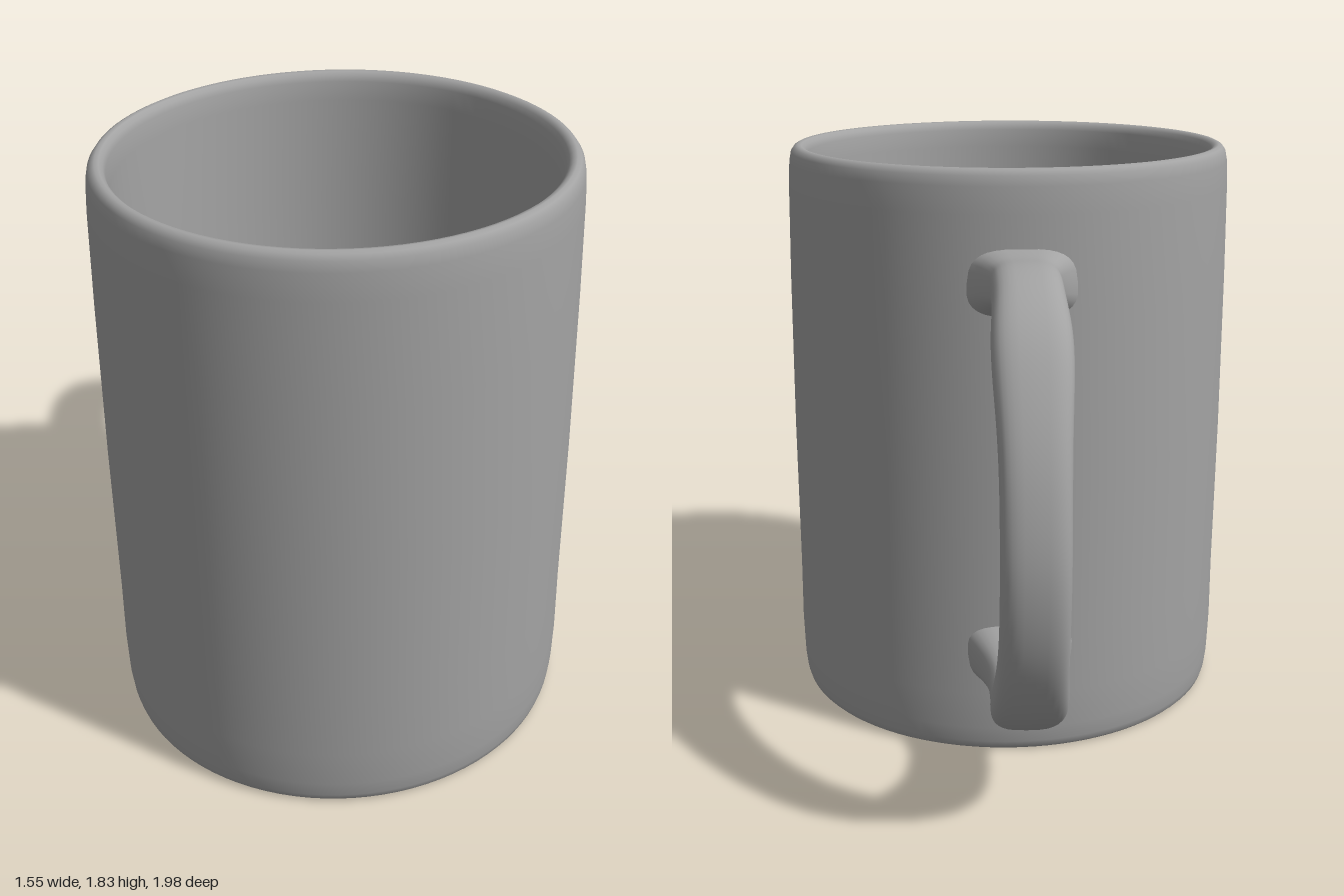
import * as THREE from 'three';

const glaze = new THREE.MeshStandardMaterial({ color: 0xa3a3a3 });
glaze.name = 'grey glaze';

// Hollow cup: base, outer wall, rounded rim, inner wall and floor in one profile
function makeCup() {
  const profile = [
    [0, 0], [0.4, 0], [0.69, 0], [0.7, 0.002], [0.708, 0.01], [0.714, 0.03], [0.72, 0.08],
    [0.724, 0.2], [0.723, 0.4], [0.726, 0.9], [0.724, 1.4], [0.72, 1.7], [0.716, 1.78],
    [0.71, 1.81], [0.7, 1.824], [0.688, 1.83], [0.676, 1.828], [0.665, 1.818],
    [0.658, 1.8], [0.653, 1.74], [0.648, 1.4], [0.635, 0.6], [0.628, 0.22],
    [0.618, 0.16], [0.6, 0.13], [0.57, 0.12], [0.3, 0.12], [0, 0.12],
  ].map(([r, y]) => new THREE.Vector2(r, y));
  const cup = new THREE.Mesh(new THREE.LatheGeometry(profile, 96), glaze);
  cup.name = 'cup';
  cup.scale.set(0.986, 1, 1.014); // slightly oval
  return cup;
}

// Rounded-rectangle section swept along the loop, flaring where it meets the wall
function makeHandle() {
  const path = new THREE.CatmullRomCurve3([
    [0.68, 1.5], [0.8, 1.515], [0.95, 1.525], [1.07, 1.49], [1.17, 1.42], [1.27, 1.28],
    [1.345, 1.1], [1.38, 0.88], [1.355, 0.68], [1.29, 0.53], [1.2, 0.42],
    [1.07, 0.34], [0.95, 0.315], [0.8, 0.32], [0.68, 0.335],
  ].map(([r, y]) => new THREE.Vector3(r, y, 0)), false, 'centripetal');
  const rings = 90, sides = 32, positions = [], index = [];
  const soften = (v) => Math.sign(v) * Math.abs(v) ** 0.65;
  for (let i = 0; i <= rings; i++) {
    const p = path.getPointAt(i / rings);
    const t = path.getTangentAt(i / rings);
    const flare = Math.max(0, 1 - (p.x - 0.68) / 0.22) ** 2;
    const slim = THREE.MathUtils.smoothstep(p.x, 1.0, 1.38);
    const halfThick = 0.074 - 0.014 * slim + 0.04 * flare;
    const halfWide = 0.1 + 0.012 * Math.sin(Math.PI * slim) - 0.006 * slim + 0.08 * flare;
    for (let j = 0; j < sides; j++) {
      const a = (j / sides) * Math.PI * 2;
      const n = soften(Math.cos(a)) * halfThick;
      positions.push(p.x - t.y * n, p.y + t.x * n, soften(Math.sin(a)) * halfWide);
      if (i < rings) {
        const k = (j + 1) % sides, r0 = i * sides, r1 = r0 + sides;
        index.push(r0 + j, r0 + k, r1 + k, r0 + j, r1 + k, r1 + j);
      }
    }
  }
  const geometry = new THREE.BufferGeometry();
  geometry.setAttribute('position', new THREE.Float32BufferAttribute(positions, 3));
  geometry.setIndex(index);
  geometry.computeVertexNormals();
  const handle = new THREE.Mesh(geometry, glaze);
  handle.name = 'handle';
  handle.rotation.y = 2.139; // points to the back right
  return handle;
}

export function createModel() {
  const mug = new THREE.Group();
  mug.name = 'mug';
  const body = new THREE.Group();
  body.name = 'body';
  body.add(makeCup(), makeHandle());
  body.position.set(0.055, 0, 0.26);
  mug.add(body);
  return mug;
}
